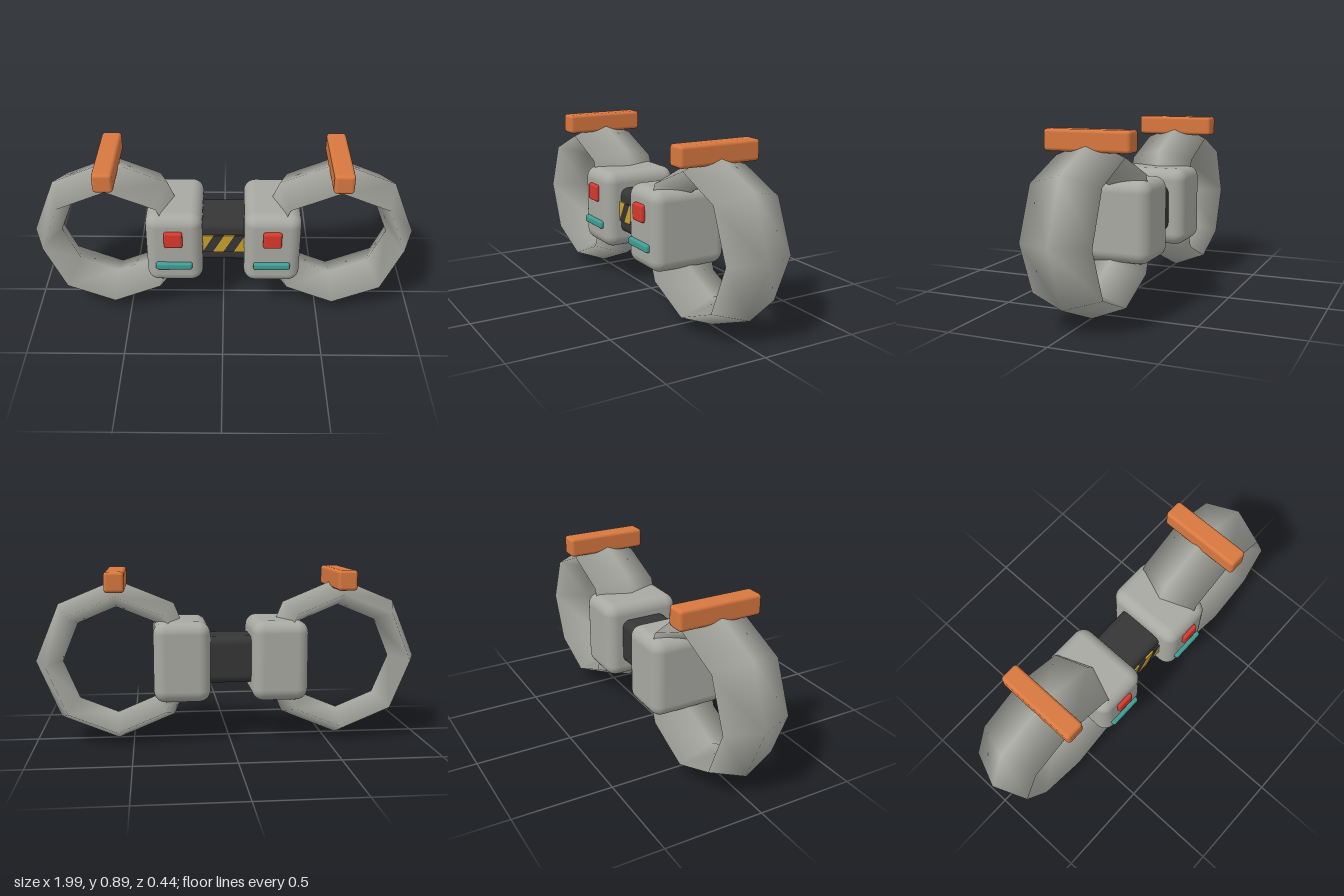
import * as THREE from 'three';
import { RoundedBoxGeometry } from 'three/addons/geometries/RoundedBoxGeometry.js';

const paint = (name, color) => {
  const m = new THREE.MeshStandardMaterial({ color });
  m.name = name;
  return m;
};

export function createModel() {
  const grey = paint('warm grey', 0xa9a9a3);
  const dark = paint('charcoal', 0x363636);
  const orange = paint('orange', 0xd8783f);
  const red = paint('red', 0xd8382c);
  const teal = paint('teal', 0x3f9d93);
  const yellow = paint('yellow', 0xc9a02a);

  const model = new THREE.Group();
  model.name = 'twinRingDevice';

  const add = (parent, name, geometry, material, x, y, z) => {
    const mesh = new THREE.Mesh(geometry, material);
    mesh.name = name;
    mesh.position.set(x, y, z);
    parent.add(mesh);
    return mesh;
  };
  const roundedBox = (w, h, d, r, seg = 3) => new RoundedBoxGeometry(w, h, d, seg, r);

  // Eight-sided cuff with a diamond cross-section stretched along z
  const ringGeometry = new THREE.TorusGeometry(0.347, 0.07, 4, 8);
  ringGeometry.scale(1, 1, 2.49);

  for (const [side, s] of [['left', 1], ['right', -1]]) {
    const cuff = new THREE.Group();
    cuff.name = side + 'Cuff';
    add(cuff, 'ring', ringGeometry, grey, s * 0.58, 0.418, -0.004);
    add(cuff, 'topBar', roundedBox(0.1, 0.103, 0.432, 0.017), orange, s * 0.58, 0.837, -0.004);
    // Lock housing with its button and indicator
    add(cuff, 'housing', roundedBox(0.288, 0.41, 0.414, 0.06, 4), grey, s * 0.25, 0.427, -0.004);
    add(cuff, 'button', roundedBox(0.094, 0.09, 0.04, 0.012), red, s * 0.25 - 0.002, 0.508, 0.203);
    add(cuff, 'indicator', roundedBox(0.187, 0.04, 0.04, 0.012), teal, s * 0.25 - 0.002, 0.344, 0.203);
    model.add(cuff);
  }

  // Connecting bar between the housings
  add(model, 'connector', roundedBox(0.36, 0.242, 0.25, 0.04), dark, 0, 0.426, -0.003);

  // Hazard plate: slanted stripes clipped to the plate's length
  const halfW = 0.12, y0 = 0.375, y1 = 0.478, slant = 0.057;
  const h = y1 - y0;
  const stripe = (a, b) => {
    // Clip the parallelogram with bottom edge a..b against x = -halfW and x = halfW
    let points = [[a, 0], [b, 0], [b + slant, h], [a + slant, h]];
    for (const s of [-1, 1]) {
      const out = [];
      points.forEach((p, i) => {
        const q = points[(i + 1) % points.length];
        const dp = halfW - s * p[0], dq = halfW - s * q[0];
        if (dp >= 0) out.push(p);
        if (dp * dq < 0) {
          const t = dp / (dp - dq);
          out.push([p[0] + (q[0] - p[0]) * t, p[1] + (q[1] - p[1]) * t]);
        }
      });
      points = out;
    }
    const shape = new THREE.Shape(points.map(([x, y]) => new THREE.Vector2(x, y)));
    return new THREE.ExtrudeGeometry(shape, { depth: 0.009, bevelEnabled: false });
  };
  const hazard = new THREE.Group();
  hazard.name = 'hazardPlate';
  const width = 0.0535;
  for (let i = -2; i < 3; i++) {
    const a = -0.0005 + i * width;
    const isDark = i % 2 === 0;
    if (a + width + slant <= -halfW) continue;
    add(hazard, isDark ? 'darkStripe' : 'yellowStripe', stripe(a, a + width), isDark ? dark : yellow, 0, y0, 0.1225);
  }
  // Leading yellow stripe at the right end
  add(hazard, 'yellowStripe', stripe(-0.161, -0.1075), yellow, 0, y0, 0.1225);
  model.add(hazard);

  return model;
}
